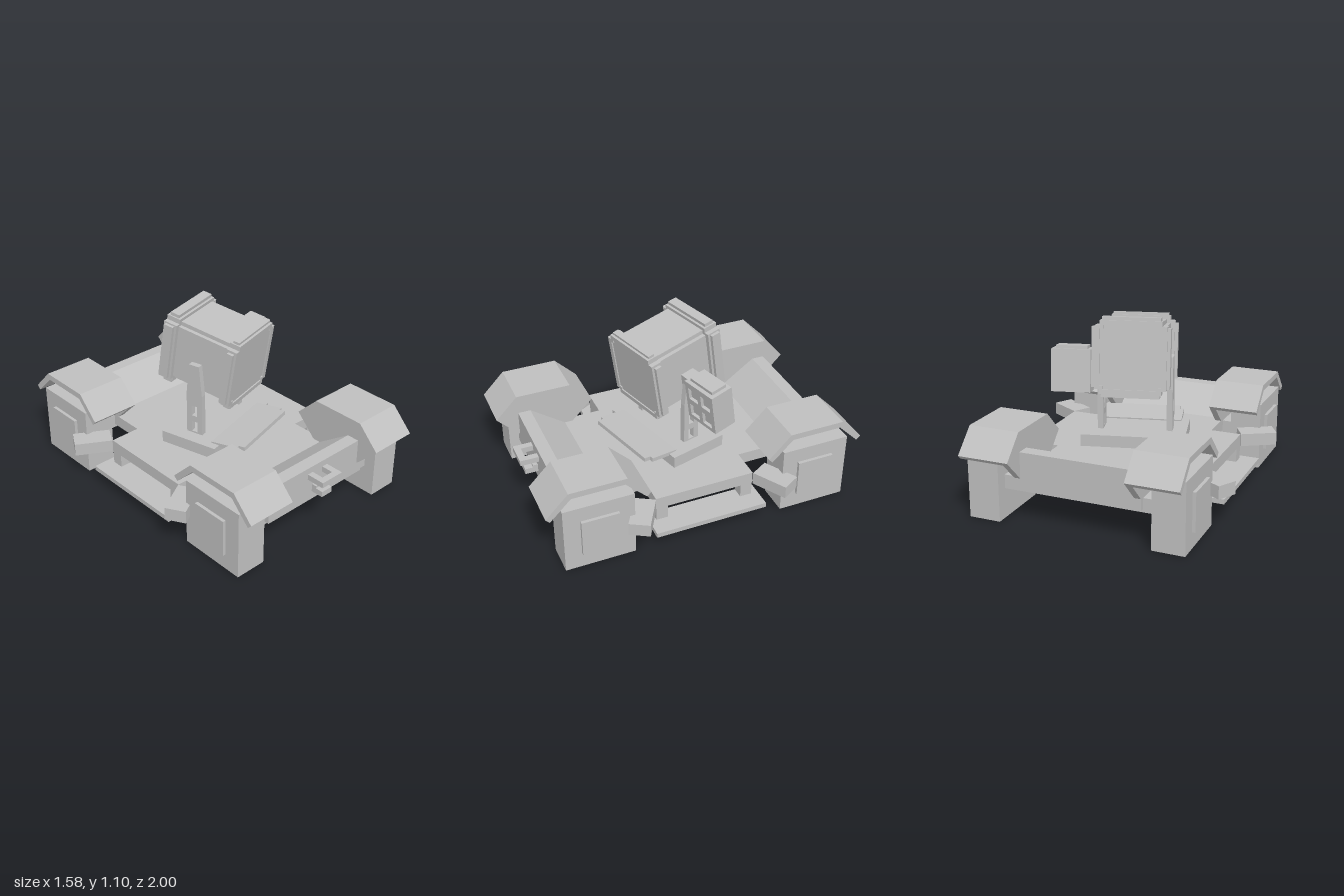
import * as THREE from 'three';

const shell = new THREE.MeshStandardMaterial({ color: 0xbfbfbf, flatShading: true });
shell.name = 'plain grey';

export function createModel() {
  const root = new THREE.Group();
  root.name = 'rover';

  const add = (parent, name, geometry, x = 0, y = 0, z = 0) => {
    const m = new THREE.Mesh(geometry, shell);
    m.name = name;
    m.position.set(x, y, z);
    parent.add(m);
    return m;
  };
  // box given by its minimum and maximum on each axis
  const box = (parent, name, x0, x1, y0, y1, z0, z1) =>
    add(parent, name, new THREE.BoxGeometry(x1 - x0, y1 - y0, z1 - z0),
      (x0 + x1) / 2, (y0 + y1) / 2, (z0 + z1) / 2);
  const shapeOf = (pts) => new THREE.Shape(pts.map(([a, b]) => new THREE.Vector2(a, b)));
  const extrude = (shape, depth) => new THREE.ExtrudeGeometry(shape, { depth, bevelEnabled: false });
  // extrude a (z, y) outline along x, from x0 to x1
  const across = (pts, x0, x1) => {
    const g = extrude(shapeOf(pts.map(([z, y]) => [-z, y])), x1 - x0);
    return g.rotateY(Math.PI / 2).translate(x0, 0, 0);
  };
  const rect = (x0, x1, y0, y1) => new THREE.Path(
    [[x0, y0], [x0, y1], [x1, y1], [x1, y0]].map(([a, b]) => new THREE.Vector2(a, b)));
  // rectangle with a square step cut from each corner
  const stepped = (w, h, n) => {
    const q = [[w, h - n], [w - n, h - n], [w - n, h]];
    const r = [...q].reverse();
    return [...q, ...r.map(([x, y]) => [-x, y]),
      ...q.map(([x, y]) => [-x, -y]), ...r.map(([x, y]) => [x, -y])];
  };

  // deck, wider between the wheels
  const deck = extrude(shapeOf([
    [-0.39, -0.86], [0.39, -0.86], [0.39, -0.315], [0.585, -0.315], [0.585, 0.315], [0.39, 0.315],
    [0.39, 0.86], [-0.39, 0.86], [-0.39, 0.315], [-0.585, 0.315], [-0.585, -0.315], [-0.39, -0.315],
  ]), 0.075).rotateX(-Math.PI / 2);
  add(root, 'deck', deck, 0, 0.2, 0);

  for (const s of [1, -1]) {
    // end walls sloping down to the deck, and the axles below
    const outline = [[0.86, 0.27], [0.86, 0.43], [0.78, 0.43], [0.555, 0.27]].map(([z, y]) => [z * s, y]);
    add(root, 'endWall', across(outline, -0.35, 0.35));
    box(root, 'axle', -0.48, 0.48, 0.18, 0.265, s * 0.69 - 0.14, s * 0.69 + 0.14);

    // side rails on short hangers
    box(root, 'sideRail', s * 0.605 - 0.095, s * 0.605 + 0.095, 0.085, 0.115, -0.355, 0.355);
    for (const t of [1, -1])
      box(root, 'railHanger', s * 0.547 - 0.037, s * 0.547 + 0.037, 0.11, 0.21, t * 0.275 - 0.037, t * 0.275 + 0.037);
  }

  // wheel units at the four corners
  const cover = [[1.0, 0.41], [0.863, 0.55], [0.515, 0.55], [0.375, 0.41],
    [0.4, 0.385], [0.53, 0.512], [0.848, 0.512], [0.975, 0.385]];
  const panel = [[1.0, 0.41], [0.863, 0.55], [0.515, 0.55], [0.375, 0.41], [0.515, 0.27], [0.86, 0.27]];
  for (const sx of [1, -1]) for (const sz of [1, -1]) {
    const side = (pts, a, b) => across(pts.map(([z, y]) => [z * sz, y]), Math.min(a * sx, b * sx), Math.max(a * sx, b * sx));
    box(root, 'wheel', sx * 0.567 - 0.098, sx * 0.567 + 0.098, 0, 0.43, sz * 0.69 - 0.215, sz * 0.69 + 0.215);
    box(root, 'hubPlate', sx * 0.67 - 0.015, sx * 0.67 + 0.015, 0.1, 0.335, sz * 0.688 - 0.115, sz * 0.688 + 0.115);
    add(root, 'fender', side(cover, 0.39, 0.665));
    add(root, 'fenderPanel', side(panel, 0.35, 0.39));
    const arm = add(root, 'cornerBumper', new THREE.BoxGeometry(0.23, 0.08, 0.127), sx * 0.657, 0.235, sz * 0.428);
    arm.rotation.y = -sx * sz * Math.PI / 6;
  }

  // tow handle and the tab beneath it
  for (const s of [1, -1])
    box(root, 'towHandleArm', s * 0.06 - 0.02, s * 0.06 + 0.02, 0.355, 0.39, 0.85, 0.975);
  box(root, 'towHandleBar', -0.04, 0.04, 0.355, 0.39, 0.935, 0.975);
  box(root, 'towTab', -0.04, 0.04, 0.255, 0.29, 0.85, 0.94);
  box(root, 'towTabTop', -0.04, 0.04, 0.29, 0.305, 0.85, 0.89);

  // turret turned a little to its left
  const turret = new THREE.Group();
  turret.name = 'turret';
  turret.rotation.y = THREE.MathUtils.degToRad(15);
  root.add(turret);
  box(turret, 'turretBase', -0.32, 0.32, 0.27, 0.35, -0.19, 0.19);

  // sloping panel in front, with stepped front corners
  const tray = extrude(shapeOf([
    [-0.27, -0.11], [0.27, -0.11], [0.27, 0.07], [0.245, 0.07], [0.245, 0.11],
    [-0.245, 0.11], [-0.245, 0.07], [-0.27, 0.07],
  ]), 0.025).rotateX(Math.PI / 2);
  add(turret, 'controlTray', tray, 0, 0.369, 0.245).rotation.x = -0.1;

  // posts with two slots each
  for (const s of [1, -1]) {
    const post = shapeOf([[-0.055, 0.35], [0.055, 0.35], [0.055, 0.62], [0.035, 0.82], [-0.035, 0.82], [-0.055, 0.62]]);
    post.holes.push(rect(-0.02, 0.02, 0.36, 0.43), rect(-0.02, 0.02, 0.47, 0.54));
    const g = extrude(post, 0.036).rotateY(Math.PI / 2).translate(-0.018, 0, 0);
    add(turret, 'post', g, s * 0.215, 0, -0.01);
  }

  // head tipped forward
  const head = new THREE.Group();
  head.name = 'head';
  head.position.y = 0.825;
  head.rotation.x = THREE.MathUtils.degToRad(8.5);
  turret.add(head);

  add(head, 'headBody', extrude(shapeOf(stepped(0.19, 0.2, 0.025)), 0.46), 0, 0, -0.235);
  const frame = (name, w, h, n, z, d) => {
    const f = shapeOf(stepped(w, h, n));
    f.holes.push(new THREE.Path(stepped(0.185, 0.19, 0.02).map(([x, y]) => new THREE.Vector2(x, y))));
    add(head, name, extrude(f, d), 0, 0, z);
  };
  frame('frontFrame', 0.215, 0.22, 0.03, 0.18, 0.07);
  frame('frontFrameRim', 0.235, 0.235, 0.06, 0.195, 0.04);
  frame('backFrame', 0.215, 0.22, 0.03, -0.26, 0.09);
  frame('backFrameRim', 0.235, 0.24, 0.06, -0.245, 0.06);
  add(head, 'screen', extrude(shapeOf(stepped(0.187, 0.192, 0.02)), 0.02), 0, 0, 0.222);
  add(head, 'backCover', extrude(shapeOf(stepped(0.187, 0.192, 0.02)), 0.02), 0, 0, -0.25);

  // side pod with four recessed windows
  box(head, 'podArm', 0.18, 0.3, -0.13, 0, -0.05, 0.04);
  box(head, 'podBody', 0.27, 0.515, -0.245, 0.0, -0.075, 0.055);
  box(head, 'podUpper', 0.27, 0.515, 0.0, 0.02, -0.075, 0.075);
  box(head, 'podLid', 0.295, 0.49, 0.02, 0.04, -0.055, 0.05);
  const face = shapeOf([[0.27, -0.245], [0.515, -0.245], [0.515, 0.0], [0.27, 0.0]]);
  for (const [x0, x1] of [[0.295, 0.375], [0.405, 0.485]])
    face.holes.push(rect(x0, x1, -0.22, -0.14), rect(x0, x1, -0.1, -0.02));
  add(head, 'podFace', extrude(face, 0.02), 0, 0, 0.055);

  return root;
}
